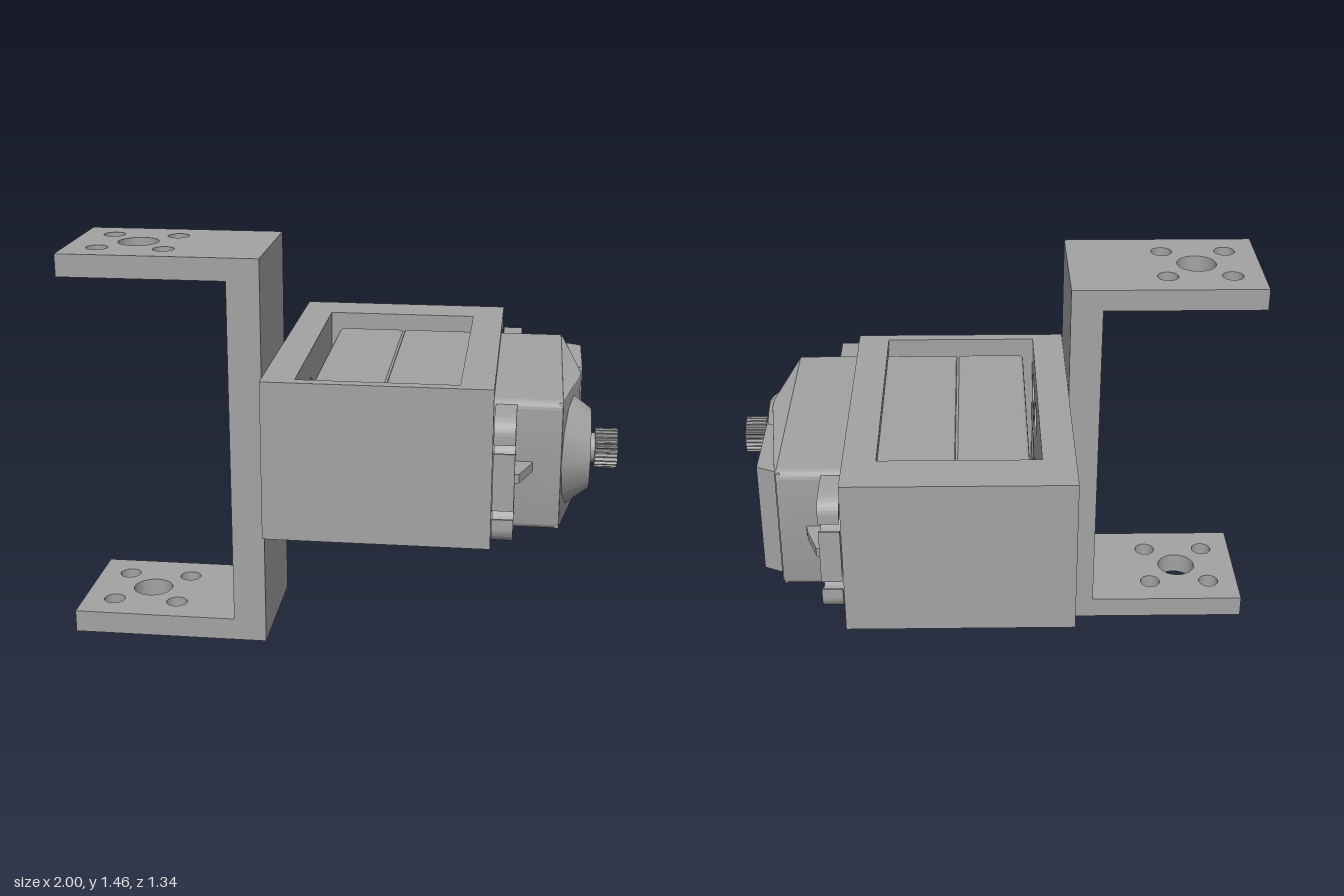
import * as THREE from 'three';
import { toCreasedNormals } from 'three/addons/utils/BufferGeometryUtils.js';

const CY = 0.73; // height of the servo and bracket centre line
const SHAFT_Z = 0.25;

export function createModel() {
  const root = new THREE.Group();
  root.name = 'servoBracketAssembly';
  const grey = new THREE.MeshStandardMaterial({ color: 0xa3a3a3 });
  grey.name = 'grey';

  const add = (name, geo, parent) => {
    const mesh = new THREE.Mesh(toCreasedNormals(geo, 0.5), grey);
    mesh.name = name;
    parent.add(mesh);
    return mesh;
  };
  const group = (name) => {
    const g = new THREE.Group();
    g.name = name;
    root.add(g);
    return g;
  };
  const extrude = (shape, depth, bevel = 0) => new THREE.ExtrudeGeometry(shape, {
    depth: depth - 2 * bevel, curveSegments: 24, bevelEnabled: bevel > 0,
    bevelSize: bevel, bevelThickness: bevel, bevelOffset: -bevel, bevelSegments: 3,
  }).translate(0, 0, bevel);
  // Shapes are drawn in (-z, y) and run along x, or in (x, -z) and run along y
  const alongX = (shape, x0, x1, bevel) =>
    extrude(shape, x1 - x0, bevel).rotateY(Math.PI / 2).translate(x0, 0, 0);
  const alongY = (shape, y0, y1, bevel) =>
    extrude(shape, y1 - y0, bevel).rotateX(-Math.PI / 2).translate(0, y0, 0);
  const poly = (pts) => new THREE.Shape(pts.map(([a, b]) => new THREE.Vector2(a, b)));
  const rect = (a0, b0, a1, b1) => poly([[a0, b0], [a1, b0], [a1, b1], [a0, b1]]);
  const hole = (shape, a, b, r) => {
    shape.holes.push(new THREE.Path().absarc(a, b, r, 0, Math.PI * 2, true));
    return shape;
  };
  const rounded = (a0, b0, a1, b1, r) => {
    const s = new THREE.Shape();
    s.absarc(a1 - r, b0 + r, r, -Math.PI / 2, 0);
    s.absarc(a1 - r, b1 - r, r, 0, Math.PI / 2);
    s.absarc(a0 + r, b1 - r, r, Math.PI / 2, Math.PI);
    s.absarc(a0 + r, b0 + r, r, Math.PI, Math.PI * 1.5);
    return s;
  };
  // One centre hole with four around it
  const holePattern = (shape, a, b, rMid, rSmall) => {
    hole(shape, a, b, rMid);
    for (const i of [-1, 1]) for (const j of [-1, 1]) hole(shape, a + i * 0.122, b + j * 0.122, rSmall);
    return shape;
  };

  // C-shaped bracket
  const bracket = group('bracket');
  for (const [name, y0, y1] of [['lowerArm', 0, 0.083], ['upperArm', 1.372, 1.455]]) {
    const arm = holePattern(rect(-1, -0.5, -0.39, 0), -0.76, -0.25, 0.075, 0.04);
    add(name, alongY(arm, y0, y1), bracket);
  }
  const wall = holePattern(rect(-0.5, 0, 0, 1.455), -0.25, CY, 0.07, 0.07);
  add('bracketWall', alongX(wall, -0.39, -0.27), bracket);

  // Holder box, open at the top, bottom and front
  const holder = group('holder');
  const screwHoles = (s) => hole(hole(s, 0.588, 0.85, 0.052), 0.588, 0.61, 0.052);
  const back = screwHoles(rect(-0.545, 0.43, 0.67, 1.025));
  holePattern(back, -0.25, CY, 0.07, 0.07);
  add('holderBack', alongX(back, -0.27, -0.15), holder);
  add('holderThickSide', alongX(screwHoles(rect(0.49, 0.43, 0.67, 1.025)), -0.15, 0.435), holder);
  add('holderThinSide', alongX(rect(-0.545, 0.43, -0.5, 1.025), -0.15, 0.435), holder);
  const frame = screwHoles(rect(-0.545, 0.43, 0.67, 1.025));
  frame.holes.push(rect(-0.5, 0.477, 0.49, 0.98));
  add('holderFrontFrame', alongX(frame, 0.435, 0.555), holder);

  // Servo case in two halves with a seam between
  const servo = group('servo');
  const caseShape = () => rounded(-0.485, 0.49, 0.475, 0.97, 0.03);
  add('caseBack', alongX(caseShape(), -0.11, 0.153, 0.015), servo);
  add('caseSeam', alongX(rounded(-0.479, 0.496, 0.469, 0.964, 0.03), 0.14, 0.17), servo);
  add('caseFront', alongX(caseShape(), 0.158, 0.795, 0.006), servo);

  // Mounting ears with open screw slots and a stiffening rib
  for (const side of [-1, 1]) {
    const inner = 0.46, outer = side > 0 ? 0.67 : 0.655, holeZ = outer - 0.062;
    const ear = new THREE.Shape();
    const r = 0.055, open = 0.3;
    ear.moveTo(inner, 0.5);
    ear.lineTo(outer - 0.06, 0.5);
    ear.absarc(outer - 0.06, 0.56, 0.06, -Math.PI / 2, 0);
    for (const y of [0.61, 0.85]) {
      ear.lineTo(outer, y - r * Math.sin(open));
      ear.absarc(holeZ, y, r, -open, open, true);
      ear.lineTo(outer, y + r * Math.sin(open));
    }
    ear.absarc(outer - 0.06, 0.895, 0.06, 0, Math.PI / 2);
    ear.lineTo(inner, 0.955);
    const pts = ear.getPoints(16).map((p) => [-side * p.x, p.y]);
    add('mountingEar', alongX(poly(pts), 0.56, 0.635), servo);
    const e = -side;
    const rib = poly([[0.62, e * 0.46], [0.7, e * 0.46], [0.69, e * 0.51], [0.65, e * 0.62], [0.62, e * 0.635]]);
    add('earRib', alongY(rib, 0.713, 0.747), servo);
  }

  // Sloping front cover
  const cover = poly([[0.78, -0.482], [0.795, -0.482], [0.862, -0.1], [0.862, -0.05],
    [0.803, 0.44], [0.79, 0.472], [0.78, 0.472]]);
  add('frontCover', alongY(cover, 0.495, 0.965, 0.006), servo);

  // Raised lid with a rounded tongue and a small hole
  const lid = new THREE.Shape();
  lid.moveTo(0.43, 0.515);
  lid.lineTo(0.43, 0.945);
  lid.lineTo(0.065, 0.945);
  lid.lineTo(0.065, CY + 0.1);
  lid.absarc(0.065, CY, 0.075, Math.PI / 2, Math.PI * 1.5);
  lid.lineTo(0.065, 0.515);
  hole(lid, 0.135, CY, 0.023);
  const lidGeo = alongX(lid, 0.79, 0.872);
  const p = lidGeo.attributes.position;
  for (let i = 0; i < p.count; i++) { // lean the far end inward
    if (p.getX(i) > 0.85 && p.getZ(i) < -0.42) p.setZ(i, -0.39);
  }
  lidGeo.computeVertexNormals();
  add('raisedLid', lidGeo, servo);
  add('lidHoleFloor', new THREE.CylinderGeometry(0.026, 0.026, 0.02, 20)
    .rotateZ(-Math.PI / 2).translate(0.843, CY, -0.135), servo);

  // Faceted boss around the shaft
  const boss = add('shaftBoss', new THREE.CylinderGeometry(0.15, 0.235, 0.115, 12)
    .rotateZ(-Math.PI / 2), servo);
  boss.position.set(0.8425, CY, SHAFT_Z);

  // Splined output shaft with a bored centre
  const shaft = group('outputShaft');
  const teeth = 25, gear = [];
  for (let i = 0; i < teeth * 4; i++) {
    const a = (i / (teeth * 4)) * Math.PI * 2, rad = i % 4 < 2 ? 0.073 : 0.061;
    gear.push([-SHAFT_Z + rad * Math.cos(a), CY + rad * Math.sin(a)]);
  }
  add('spline', alongX(hole(poly(gear), -SHAFT_Z, CY, 0.036), 0.918, 1), shaft);
  add('shaftNeck', new THREE.CylinderGeometry(0.055, 0.055, 0.05, 24)
    .rotateZ(-Math.PI / 2).translate(0.905, CY, SHAFT_Z), shaft);

  return root;
}
